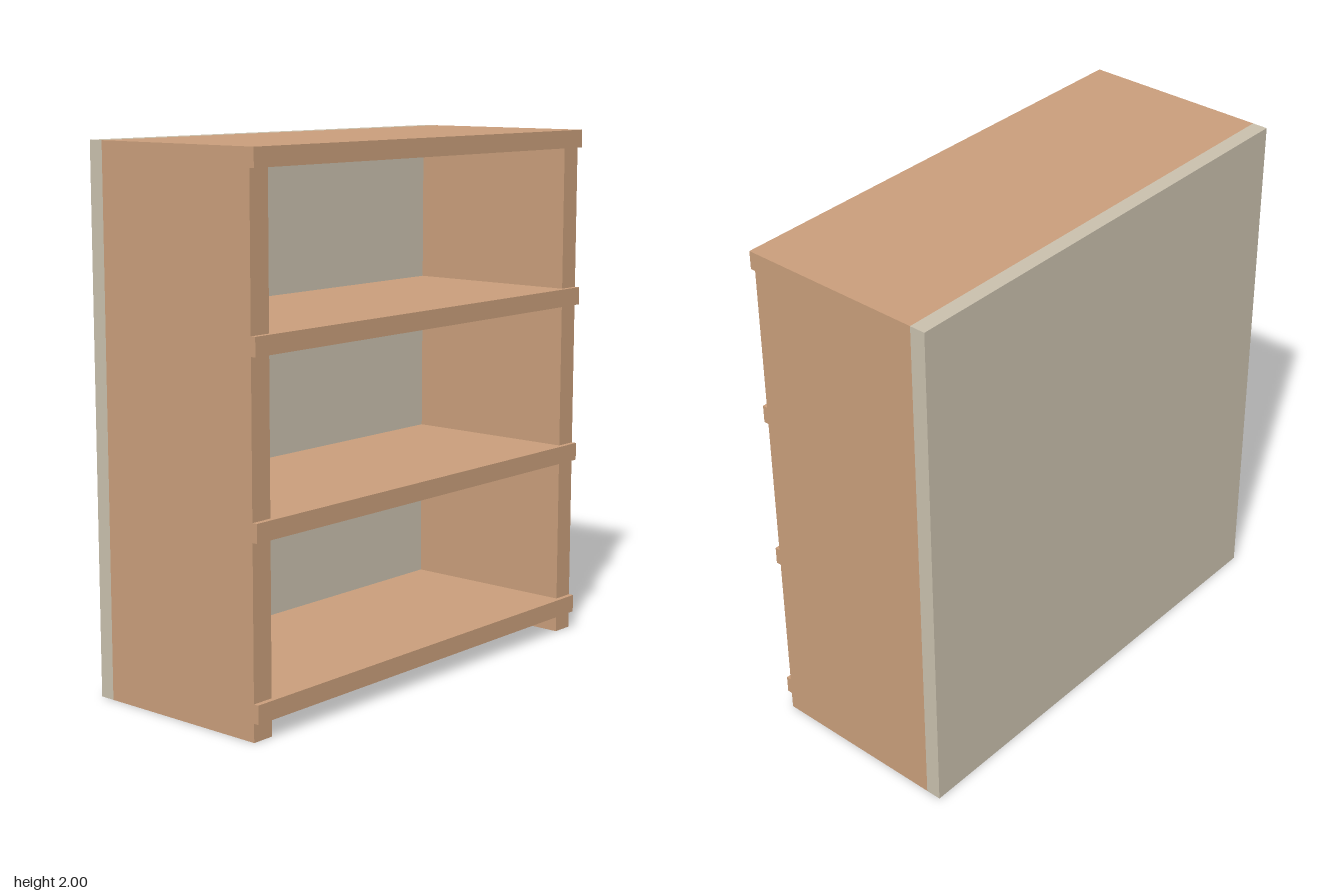
import * as THREE from 'three';

export function createModel() {
  const group = new THREE.Group();
  const wood = new THREE.MeshStandardMaterial({ color: 0xc99e7b });
  wood.name = 'wood';
  const backing = new THREE.MeshStandardMaterial({ color: 0xc9c0ad });
  backing.name = 'backing';

  // Box given by its minimum and maximum corners
  function board(name, material, [x0, y0, z0], [x1, y1, z1]) {
    const mesh = new THREE.Mesh(new THREE.BoxGeometry(x1 - x0, y1 - y0, z1 - z0), material);
    mesh.position.set((x0 + x1) / 2, (y0 + y1) / 2, (z0 + z1) / 2);
    mesh.name = name;
    group.add(mesh);
  }

  const W = 0.922, inner = 0.835, back = -0.39, panel = -0.33, front = 0.37, lip = 0.39;

  // Back panel and upright sides
  board('backPanel', backing, [-W, 0, back], [W, 2, panel]);
  board('leftSide', wood, [inner, 0, panel], [W, 2, front]);
  board('rightSide', wood, [-W, 0, panel], [-inner, 2, front]);

  // Shelves fit between the sides, with a full-width lip in front
  const shelves = [['bottomShelf', 0.068], ['lowerShelf', 0.694], ['upperShelf', 1.318], ['topShelf', 1.932]];
  for (const [name, y] of shelves) {
    const top = y + 0.068;
    board(name, wood, [-inner, y, panel], [inner, top, front]);
    board(name + 'Lip', wood, [-W, y, front], [W, top, lip]);
  }
  return group;
}
